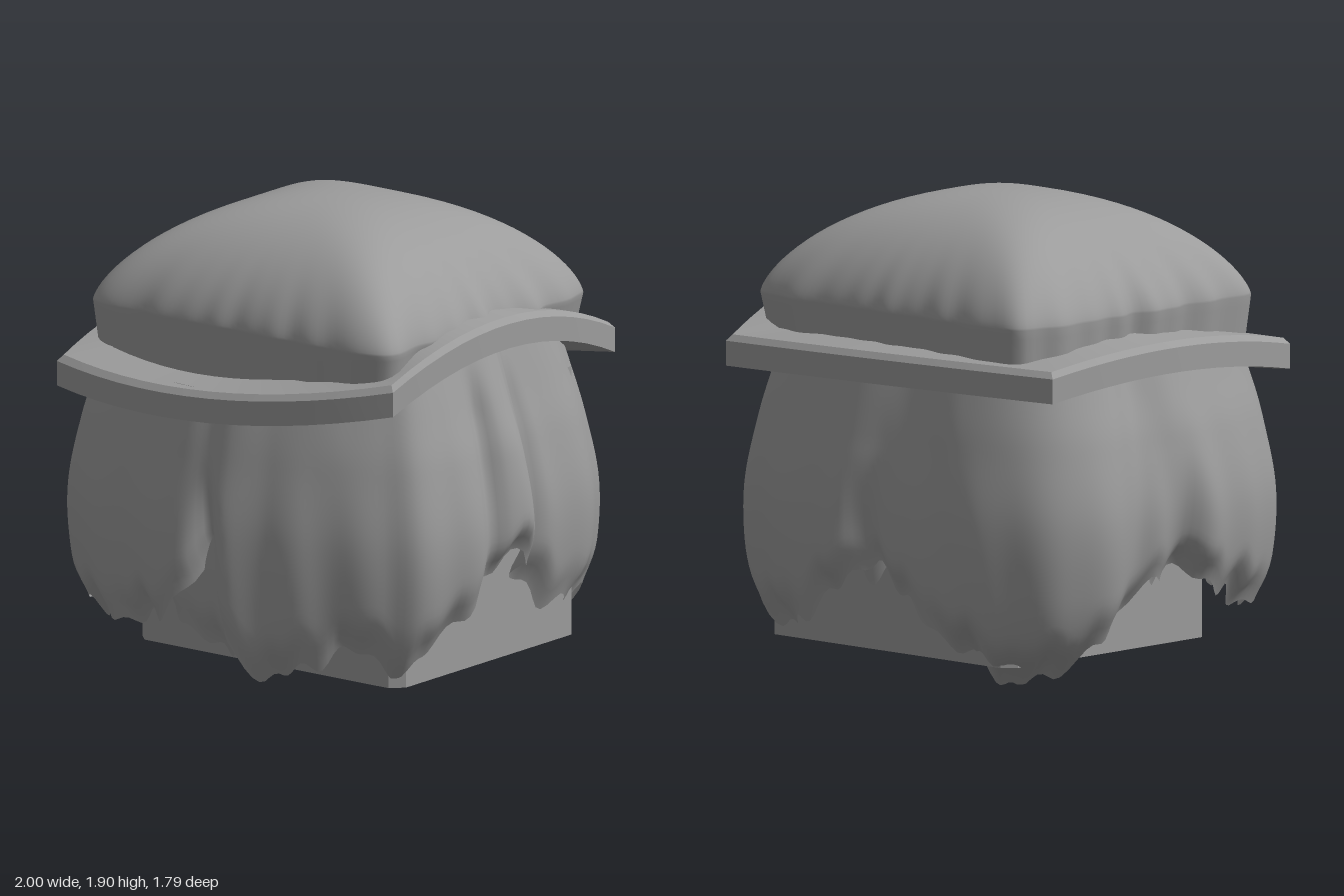
import * as THREE from 'three';
import { toCreasedNormals } from 'three/addons/utils/BufferGeometryUtils.js';

const material = new THREE.MeshStandardMaterial({ color: 0x9c9c9c, side: THREE.DoubleSide });
const { lerp, smoothstep } = THREE.MathUtils;
const RAD = Math.PI / 180;

// Grid surface from point(u index, v index); the u direction closes on itself
function loopGrid(nu, nv, point) {
  const pos = [], idx = [];
  for (let j = 0; j <= nv; j++) for (let i = 0; i < nu; i++) pos.push(...point(i, j));
  for (let j = 0; j < nv; j++) for (let i = 0; i < nu; i++) {
    const k = (i + 1) % nu, a = j * nu + i, b = j * nu + k, c = a + nu, d = b + nu;
    idx.push(a, b, c, b, d, c);
  }
  const g = new THREE.BufferGeometry();
  g.setAttribute('position', new THREE.Float32BufferAttribute(pos, 3));
  g.setIndex(idx);
  g.computeVertexNormals();
  return g;
}

// Smooth curve through [key, value] pairs
function lookup(table, x) {
  const last = table.length - 1;
  const at = i => table[Math.min(last, Math.max(0, i))];
  const slope = i => (at(i + 1)[1] - at(i - 1)[1]) / (at(i + 1)[0] - at(i - 1)[0]);
  let i = 0;
  while (i < last - 1 && x > table[i + 1][0]) i++;
  const [x0, y0] = at(i), [x1, y1] = at(i + 1), w = x1 - x0;
  const t = Math.min(1, Math.max(0, (x - x0) / w)), s = t * t * (3 - 2 * t);
  return lerp(y0, y1, s) + w * t * (1 - t) * ((1 - t) * slope(i) - t * slope(i + 1));
}

// Radius of a rounded rectangle in direction a
const squareRadius = (a, hx, hz, p) =>
  (Math.abs(Math.cos(a) / hx) ** p + Math.abs(Math.sin(a) / hz) ** p) ** (-1 / p);

// Bump around an angle in degrees
const bump = (deg, center, width) => {
  const d = ((deg - center + 540) % 360) - 180;
  return Math.exp(-((d / width) ** 2));
};

// Angles in degrees: 0 = +x side, 90 = front, 180 = -x side, 270 = back.
// Widest outline of the drape by angle
const outline = [[0, 0.99], [6, 0.995], [14, 0.98], [23, 1.01], [33, 1.04], [40, 1.0], [50, 0.95],
  [70, 0.89], [84, 0.9], [90, 0.89], [97, 0.915], [115, 0.955], [126, 1.015], [135, 1.07], [146, 1.07],
  [163, 1.02], [180, 0.99], [192, 0.95], [202, 1.06], [213, 1.1], [222, 1.08], [239, 0.97], [257, 0.875],
  [276, 0.915], [294, 0.965], [311, 1.06], [318, 1.05], [328, 1.03], [347, 0.89], [354, 0.93], [360, 0.99]];
// Share of that outline by height, on the sides and on front and back
const sideProfile = [[0, 0.7], [0.1, 0.8], [0.2, 0.88], [0.4, 0.96], [0.7, 1], [1.0, 0.95], [1.2, 0.88], [1.42, 0.8]];
const frontProfile = [[0, 0.86], [0.15, 0.96], [0.4, 0.99], [0.7, 0.98], [1.0, 0.92], [1.2, 0.875], [1.42, 0.82]];

// Height of the hem by angle
const hem = [[0, 0.58], [9, 0.54], [16, 0.38], [25, 0.3], [34, 0.14], [44, 0.25], [57, 0.2], [68, 0.13],
  [78, 0.14], [85, 0.34], [89, 0.58], [95, 0.47], [101, 0.36], [115, 0.27], [132, 0.25], [147, 0.26],
  [158, 0.32], [170, 0.4], [180, 0.46], [190, 0.38], [200, 0.24], [215, 0.05], [226, 0], [238, 0.14],
  [252, 0.3], [265, 0.46], [275, 0.44], [288, 0.27], [305, 0.18], [318, 0.27], [330, 0.28], [340, 0.32],
  [350, 0.46], [360, 0.58]];
// Short tufts behind the partings
const innerHem = [[0, 0.64], [60, 0.45], [80, 0.23], [90, 0.2], [98, 0.24], [110, 0.4], [170, 0.5],
  [180, 0.42], [190, 0.5], [262, 0.5], [270, 0.4], [280, 0.5], [360, 0.64]];

// Draped hair: gathered under the band, swelling out and curling in at the hem
function drape(hemTable, scale, parting) {
  const nu = 240, nv = 30;
  return loopGrid(nu, nv, (i, j) => {
    const deg = (i / nu) * 360, a = deg * RAD, t = j / nv, sides = Math.cos(a) ** 2;
    const top = 1.26 + 0.16 * Math.max(0, Math.cos(a)) ** 2;
    const ragged = 0.022 * Math.sin(a * 37) + 0.018 * Math.sin(a * 23 + 1);
    const y = lerp(top, Math.max(0, lookup(hemTable, deg) + ragged), t);
    let r = lookup(outline, deg) * scale * lerp(lookup(frontProfile, y), lookup(sideProfile, y), sides);
    // Soft pleats, stronger on the two sides
    const loose = smoothstep(t, 0.05, 0.7);
    r += loose * (0.006 * Math.sin(a * 17 + 0.8 + t) - 0.006 + 0.01 * sides * Math.sin(a * 23 + t * 2));
    // Grooves beside the middle lock of the +x side
    for (const c of [349, 11]) r -= 0.035 * bump(deg, c, 2.5) * smoothstep(t, 0.02, 0.3);
    // Partings in the middle of each side
    for (const [c, w, d] of [[89, 4, 0.09], [180, 5, 0.06], [270, 5, 0.07]])
      r -= parting * d * bump(deg, c, w) * smoothstep(t, 0.4, 1);
    const curl = smoothstep(t, 0.8, 1) ** 2;
    r *= 1 - curl * (0.05 + 0.2 * bump(deg, 226, 12) + 0.025 * Math.sin(a * 17));
    return [Math.cos(a) * r, y, Math.sin(a) * r];
  });
}

// Pillow-shaped crown with a slightly puckered edge
function crown() {
  const nu = 192, nv = 32, dome = 26;
  return loopGrid(nu, nv, (i, j) => {
    const a = (i / nu) * Math.PI * 2;
    const u = Math.sin(Math.min(1, j / dome) * Math.PI / 2);
    const below = Math.max(0, j - dome) / (nv - dome);
    const pucker = 0.007 * u ** 10 * (0.4 + Math.cos(a) ** 2)
      * (Math.sin(a * 31) + Math.sin(a * 19 + 1) + Math.sin(a * 11));
    const r = u * squareRadius(a, 0.76, 0.69, lerp(2, 13, u ** 2)) + pucker - 0.03 * below;
    const edge = 1.9 - 0.42 * (1 - (1 - u ** 2.3) ** 0.7);
    const bottom = 1.25 + 0.17 * Math.max(0, Math.cos(a)) ** 2;
    return [Math.cos(a) * r - 0.015, lerp(edge, bottom, below), Math.sin(a) * r - 0.04];
  });
}

// Square headband: four bowed sides given by corner, middle, corner (lower outer edge)
function headband() {
  const corners = [[0.79, 1.25, 0.64], [-0.78, 1.16, 0.8], [-0.92, 1.21, -0.72], [0.73, 1.2, -0.86]];
  const middles = [[0, 1.135, 0.82], [-0.9, 1.25, 0.04], [-0.1, 1.21, -0.83], [0.815, 1.39, -0.08]];
  const n = 14;
  // Cross-section: [scale toward the centre, height]
  const section = [[1, 0], [0.8, 0.02], [0.8, 0.15], [0.975, 0.125], [1, 0.1], [1, 0]];
  const geo = loopGrid(4 * n, section.length - 1, (i, j) => {
    const s = Math.floor(i / n), t = (i % n) / n;
    const A = corners[s], M = middles[s], B = corners[(s + 1) % 4];
    const [x, y, z] = A.map((v, k) =>
      v * (1 - t) * (1 - 2 * t) + M[k] * 4 * t * (1 - t) + B[k] * t * (2 * t - 1));
    const [k, h] = section[j];
    return [x * k, y + h, z * k];
  });
  return toCreasedNormals(geo, 0.5);
}

// Block with chamfered upright edges
function block() {
  const x0 = -0.6, x1 = 0.73, z0 = -0.53, z1 = 0.63, c = 0.05;
  const shape = new THREE.Shape([[x0 + c, z0], [x1 - c, z0], [x1, z0 + c], [x1, z1 - c],
    [x1 - c, z1], [x0 + c, z1], [x0, z1 - c], [x0, z0 + c]].map(p => new THREE.Vector2(...p)));
  const g = new THREE.ExtrudeGeometry(shape, { depth: 1.1, bevelEnabled: false });
  return g.rotateX(-Math.PI / 2).translate(0, 0.1, 0);
}

export function createModel() {
  const group = new THREE.Group();
  const parts = {
    headBlock: block(),
    hairCrown: crown(),
    hairDrape: drape(hem, 1, 1),
    innerHair: drape(innerHem, 0.9, 0),
    headband: headband(),
  };
  for (const [name, geometry] of Object.entries(parts)) {
    const mesh = new THREE.Mesh(geometry, material);
    mesh.name = name;
    group.add(mesh);
  }
  return group;
}
